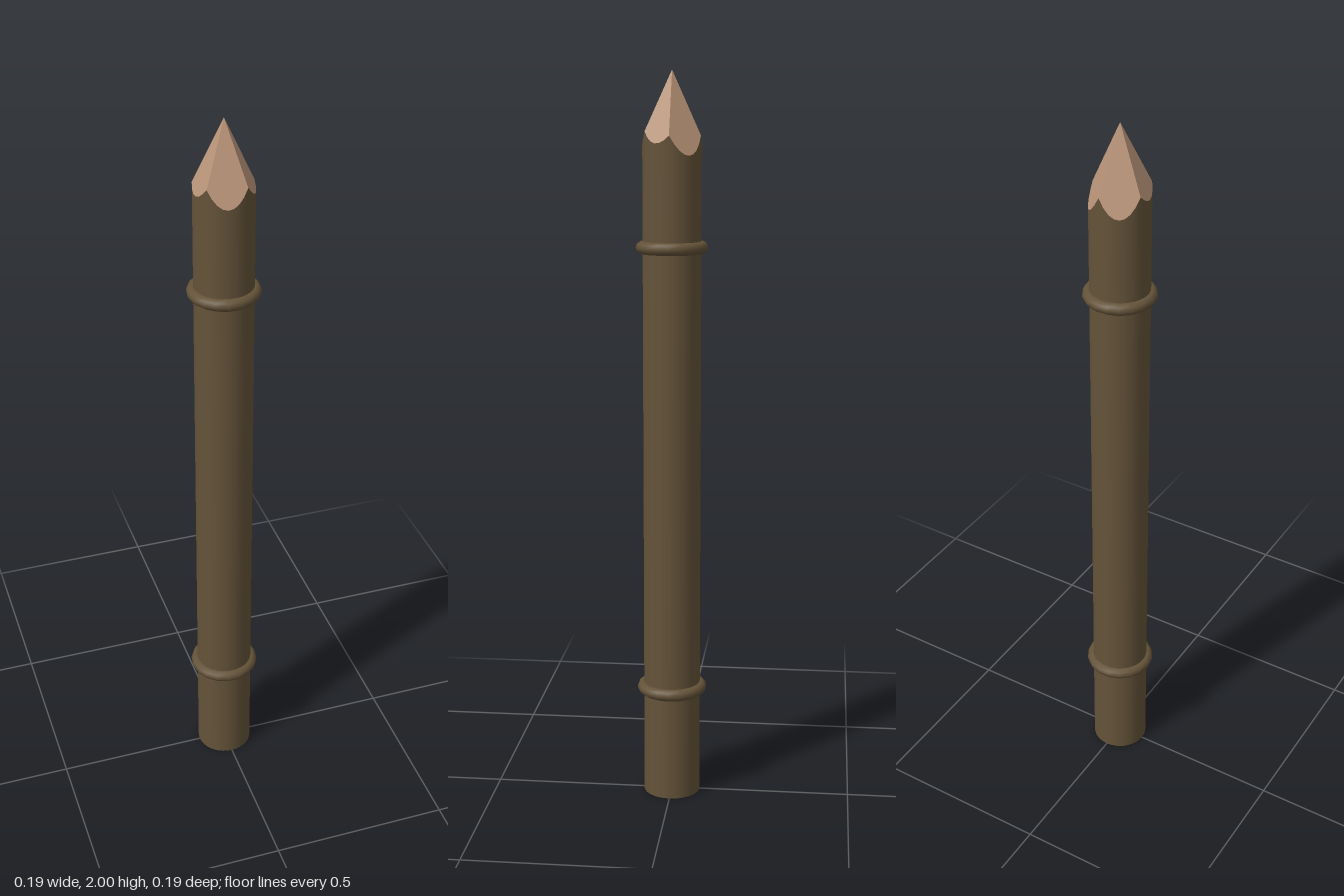
import * as THREE from 'three';

const R = 0.0785, TOP = 2, SIDES = 36;
// ridges between the whittled cuts: [angle in degrees, drop below the point at the rim]
const RIDGES = [[0, 0.168], [80, 0.168], [160, 0.165], [220, 0.157], [300, 0.157], [360, 0.168]];

// height where a flat cut meets the round pole at angle a (degrees)
function rimHeight(a) {
  a = ((a % 360) + 360) % 360;
  const i = Math.max(1, RIDGES.findIndex(([r]) => a <= r));
  const [a0, d0] = RIDGES[i - 1], [a1, d1] = RIDGES[i];
  const s = (deg) => Math.sin(THREE.MathUtils.degToRad(deg));
  return TOP - (d0 * s(a1 - a) + d1 * s(a - a0)) / s(a1 - a0);
}

export function createModel() {
  const model = new THREE.Group();
  const bark = new THREE.MeshStandardMaterial({ color: 0x645339 });
  bark.name = 'brown bark';
  const wood = new THREE.MeshStandardMaterial({ color: 0xb99478 });
  wood.name = 'cut wood';
  const add = (name, geometry, material) => {
    const mesh = new THREE.Mesh(geometry, material);
    mesh.name = name;
    model.add(mesh);
    return mesh;
  };

  // round pole with a scalloped upper rim
  const pole = new THREE.CylinderGeometry(R, R, 2, SIDES, 1, true);
  const p = pole.attributes.position;
  for (let i = 0; i < p.count; i++) {
    const angle = Math.round(THREE.MathUtils.radToDeg(Math.atan2(-p.getZ(i), p.getX(i))));
    p.setY(i, p.getY(i) > 0 ? rimHeight(angle) : 0);
  }
  add('pole', pole, bark);
  add('poleBase', new THREE.CircleGeometry(R, SIDES).rotateX(Math.PI / 2), bark);

  // faceted sharpened tip
  const rim = (a) => {
    const t = THREE.MathUtils.degToRad(a);
    return [R * Math.cos(t), rimHeight(a), -R * Math.sin(t)];
  };
  const points = [];
  for (let a = 0; a < 360; a += 360 / SIDES) {
    points.push(0, TOP, 0, ...rim(a), ...rim(a + 360 / SIDES));
  }
  const tip = new THREE.BufferGeometry();
  tip.setAttribute('position', new THREE.Float32BufferAttribute(points, 3));
  tip.computeVertexNormals();
  add('sharpenedTip', tip, wood);

  // binding rings
  for (const [name, y] of [['lowerRing', 0.308], ['upperRing', 1.54]]) {
    const ring = new THREE.TorusGeometry(0.08, 0.017, 10, 18).rotateX(Math.PI / 2);
    add(name, ring, bark).position.y = y;
  }
  return model;
}
